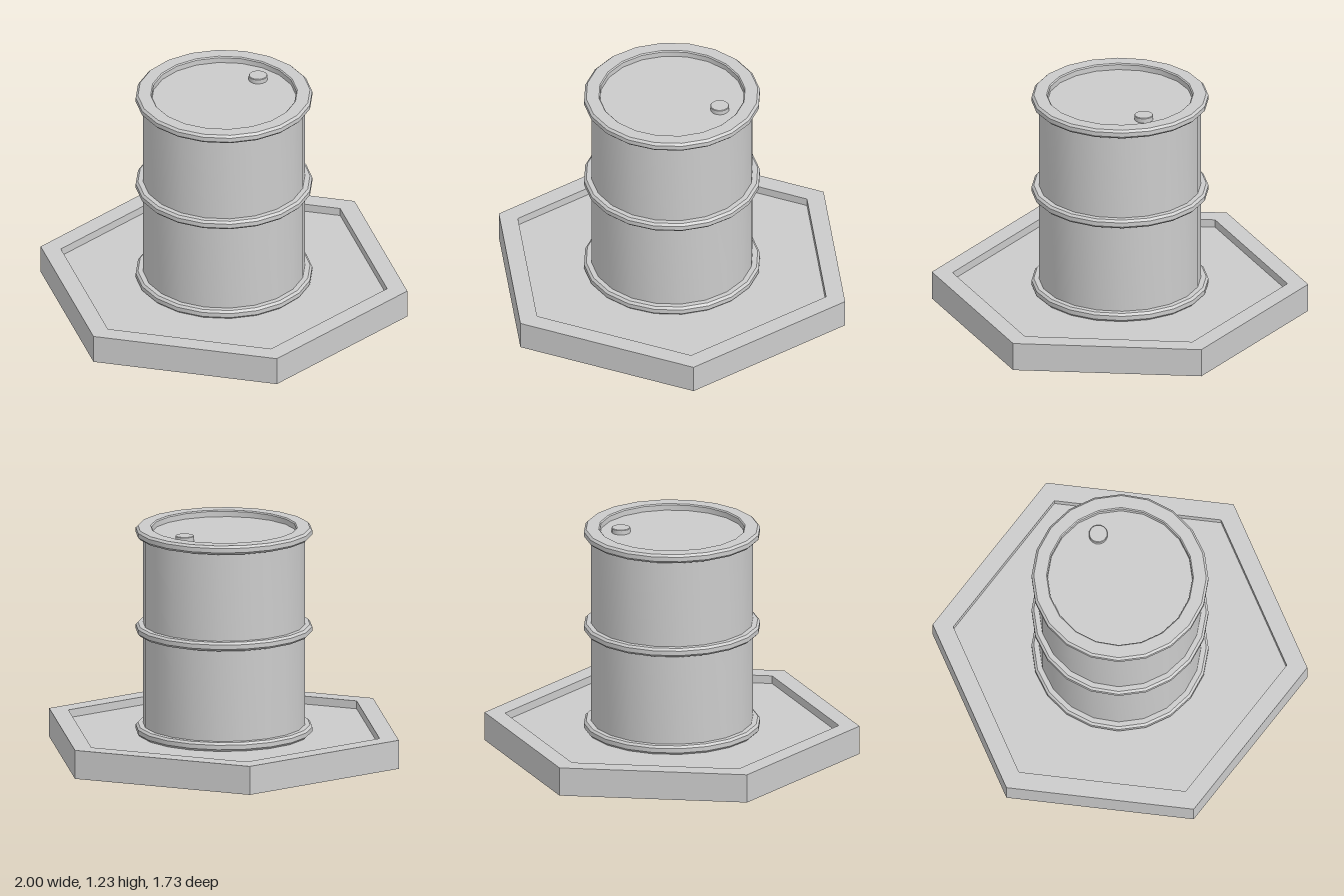
import * as THREE from 'three';
import { toCreasedNormals } from 'three/addons/utils/BufferGeometryUtils.js';

const SIDES = 20;
const material = new THREE.MeshStandardMaterial({ color: 0xcccccc });

// Turned part: profile of [radius, y] points, running up the outside
function turned(name, profile, sides = SIDES, crease = 0.5) {
  const points = profile.map(([r, y]) => new THREE.Vector2(r, y));
  const geometry = toCreasedNormals(new THREE.LatheGeometry(points, sides), crease);
  const mesh = new THREE.Mesh(geometry, material);
  mesh.name = name;
  return mesh;
}

// Hoop with bevelled outer corners, given its bottom and top heights
function hoop(name, bottom, top) {
  return turned(name, [
    [0.42, bottom], [0.457, bottom], [0.469, bottom + 0.012],
    [0.469, top - 0.012], [0.457, top], [0.42, top],
  ]);
}

export function createModel() {
  const model = new THREE.Group();

  // Hexagonal base: a raised border around a sunken floor
  const base = turned('hexagonalBase', [
    [0, 0], [1, 0], [1, 0.155], [0.89, 0.155], [0.89, 0.112], [0, 0.112],
  ], 6, 0.3);
  base.rotation.y = Math.PI / 6;
  model.add(base);

  // Drum standing on the sunken floor
  const drum = new THREE.Group();
  drum.name = 'drum';
  model.add(drum);

  drum.add(turned('drumWall', [[0.43, 0.112], [0.43, 1.2]]));
  drum.add(hoop('bottomHoop', 0.112, 0.16));
  drum.add(hoop('middleHoop', 0.657, 0.705));

  // Top rim, open in the middle, stepping down to the recessed lid
  drum.add(turned('topRim', [
    [0.42, 1.182], [0.457, 1.182], [0.469, 1.194], [0.469, 1.218],
    [0.457, 1.23], [0.39, 1.23], [0.384, 1.224], [0.384, 1.195],
  ]));
  drum.add(turned('lid', [[0.39, 1.195], [0, 1.195]]));

  // Filler cap on the lid
  const cap = turned('fillerCap', [
    [0.05, 0], [0.05, 0.024], [0.047, 0.027], [0, 0.027],
  ], 16);
  cap.position.set(0.127, 1.195, -0.24);
  drum.add(cap);

  return model;
}
